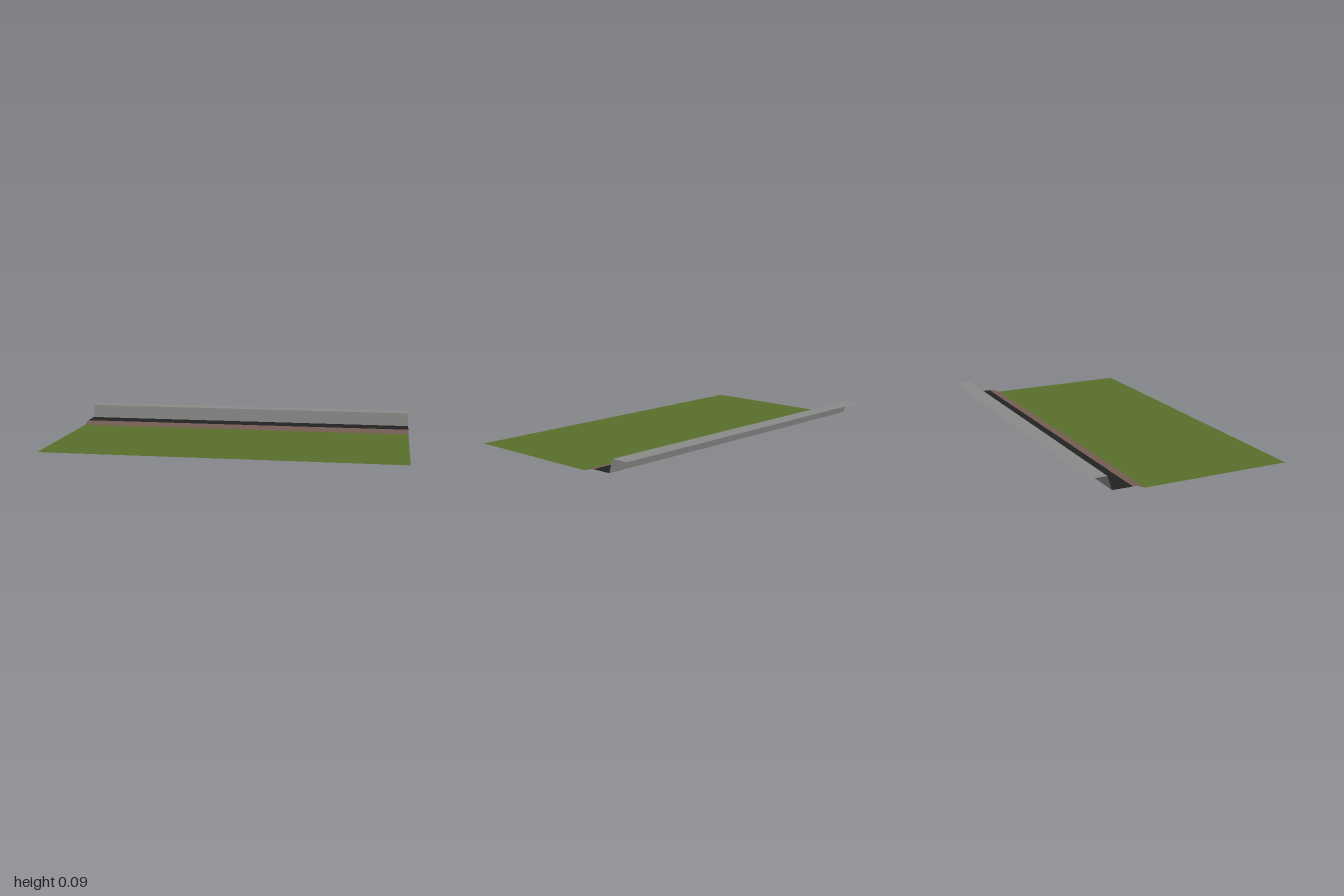
import * as THREE from 'three';

const material = (name, color) => {
  const m = new THREE.MeshStandardMaterial({ color, side: THREE.DoubleSide });
  m.name = name;
  return m;
};

// Flat strip spanning the full width between two [z, y] profile points
function strip(name, [z0, y0], [z1, y1], mat) {
  const g = new THREE.BufferGeometry();
  g.setAttribute('position', new THREE.Float32BufferAttribute(
    [-1, y0, z0, 1, y0, z0, 1, y1, z1, -1, y1, z1], 3));
  g.setIndex([0, 1, 2, 0, 2, 3]);
  g.computeVertexNormals();
  const mesh = new THREE.Mesh(g, mat);
  mesh.name = name;
  return mesh;
}

export function createModel() {
  const grass = material('grass green', 0x596e2c);
  const brick = material('kerb brown', 0x735c53);
  const asphalt = material('asphalt black', 0x222222);
  const concrete = material('concrete grey', 0x8a8a88);

  // Cross-section from the front edge of the lawn to the back of the wall top
  const profile = [
    [0.565, 0], [-0.267, 0], [-0.307, 0.016], [-0.333, 0.017],
    [-0.447, 0.018], [-0.47, 0.093], [-0.567, 0.093],
  ];
  const parts = [
    ['lawn', grass], ['kerbSlope', brick], ['kerbTop', brick],
    ['track', asphalt], ['wallFace', concrete], ['wallTop', concrete],
  ];

  const group = new THREE.Group();
  group.name = 'roadsideSection';
  parts.forEach(([name, mat], i) => group.add(strip(name, profile[i], profile[i + 1], mat)));
  return group;
}
